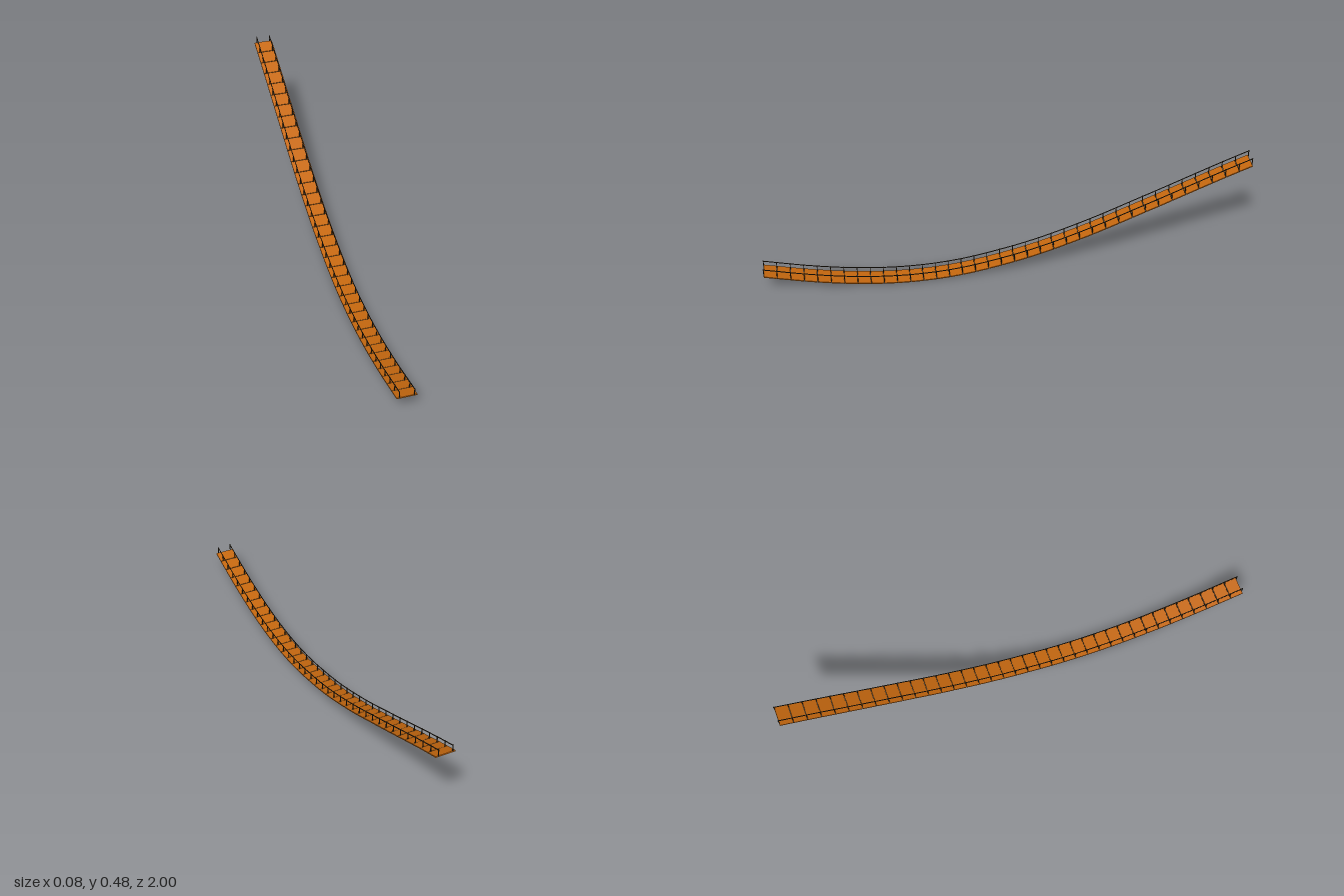
import * as THREE from 'three';

const WOOD = new THREE.MeshStandardMaterial({ color: 0xc8690f });
const DARK = new THREE.MeshStandardMaterial({ color: 0x3a3020 });

const COUNT = 37;          // planks
const THICK = 0.0045;      // plank thickness
const WIDTH = 0.08;
const GAP = 0.0035;
const RAIL_X = 0.029;
const RAIL_H = 0.027;

// Height of the walking surface against distance from front (-1) to back (1)
const sag = new THREE.CubicInterpolant(
  [-1, -0.8, -0.6, -0.4, -0.2, 0, 0.135, 0.297, 0.405, 0.513, 0.622, 0.892, 1],
  [0.094, 0.048, 0.016, 0.0045, 0.018, 0.058, 0.095, 0.152, 0.195, 0.242, 0.289, 0.408, 0.453], 1);

function joint(k) {
  const t = -1 + (2 * k) / COUNT;
  return new THREE.Vector3(0, sag.evaluate(t)[0], -t);
}

// Box stretched between two points in the y-z plane, its top on the line
function span(name, a, b, w, h, x, trim, material) {
  const length = a.distanceTo(b) - trim;
  const geometry = new THREE.BoxGeometry(w, h, length).translate(0, -h / 2, 0);
  const mesh = new THREE.Mesh(geometry, material);
  mesh.name = name;
  mesh.position.copy(a).add(b).multiplyScalar(0.5);
  mesh.position.x = x;
  mesh.rotation.x = Math.atan2(b.y - a.y, a.z - b.z);
  return mesh;
}

function box(name, w, h, d, x, y, z) {
  const mesh = new THREE.Mesh(new THREE.BoxGeometry(w, h, d), DARK);
  mesh.name = name;
  mesh.position.set(x, y, z);
  return mesh;
}

export function createModel() {
  const model = new THREE.Group();
  model.name = 'hangingBridge';
  const deck = new THREE.Group();
  deck.name = 'deck';
  const railings = new THREE.Group();
  railings.name = 'railings';
  model.add(deck, railings);

  const joints = Array.from({ length: COUNT + 1 }, (_, k) => joint(k));
  const lift = new THREE.Vector3(0, RAIL_H + 0.001, 0);

  joints.forEach((p, k) => {
    // Keep end posts within the length of the deck
    const z = THREE.MathUtils.clamp(p.z, -0.9985, 0.9985);

    // Cross bar in each gap between planks
    if (k > 0 && k < COUNT) {
      deck.add(box('crossBar', WIDTH, 0.003, 0.0022, 0, p.y - THICK / 2, z));
    }

    // Upright posts on both sides
    for (const side of [-1, 1]) {
      const height = RAIL_H + 0.004;
      railings.add(box(side > 0 ? 'leftPost' : 'rightPost', 0.003, height, 0.003,
        side * RAIL_X, p.y - 0.002 + height / 2, z));
    }

    if (k === COUNT) return;
    const q = joints[k + 1];

    // Plank, with a narrow gap to its neighbours
    deck.add(span('plank', p, q, WIDTH, THICK, 0, GAP, WOOD));

    // Handrail pieces following the deck
    const a = p.clone().add(lift);
    const b = q.clone().add(lift);
    for (const side of [-1, 1]) {
      railings.add(span(side > 0 ? 'leftRail' : 'rightRail', a, b,
        0.0028, 0.0028, side * RAIL_X, 0, DARK));
    }
  });

  return model;
}
